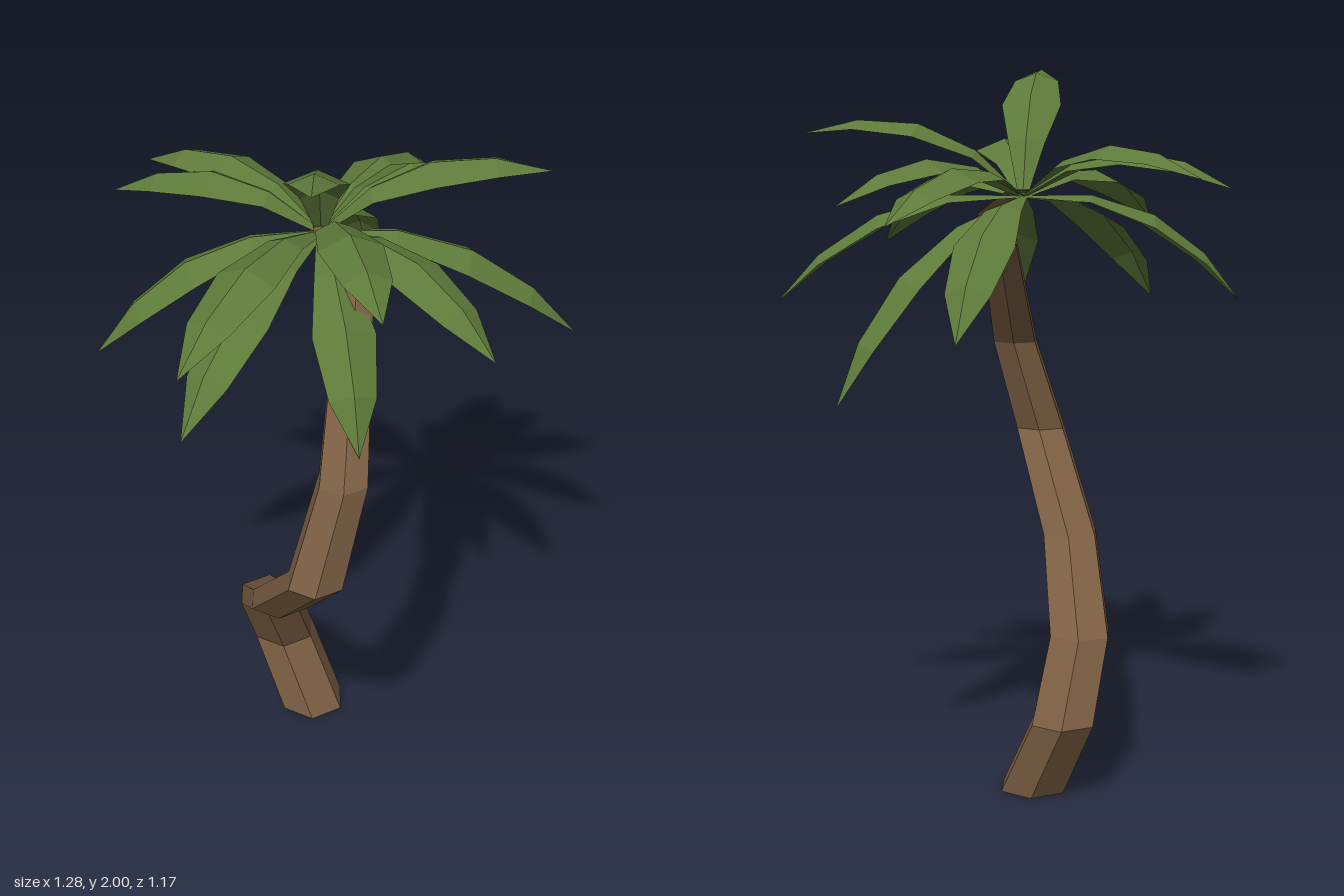
import * as THREE from 'three';

const bark = new THREE.MeshStandardMaterial({ name: 'bark brown', color: 0x7a5e42, flatShading: true });
const leaf = new THREE.MeshStandardMaterial({ name: 'leaf green', color: 0x5e7a3a, flatShading: true, side: THREE.DoubleSide });

// Trunk rings: centre x, y, z and radius
const RINGS = [
  [-0.08, 0, -0.1, 0.1], [-0.167, 0.22, -0.18, 0.096], [-0.207, 0.44, -0.065, 0.092],
  [-0.165, 0.66, 0.24, 0.086], [-0.063, 0.93, 0.505, 0.08], [0.01, 1.2, 0.437, 0.071],
  [0.045, 1.6, 0.11, 0.052], [-0.035, 1.67, -0.04, 0.035],
];

// Frond tips
const CROWN = new THREE.Vector3(-0.045, 1.655, -0.055);
const TIPS = [
  [0.085, 1.31, -0.59], [0.26, 1.6, -0.575], [0.41, 1.64, -0.415], [0.43, 1.105, -0.325],
  [0.64, 1.355, -0.035], [0.555, 1.82, -0.06], [0.39, 1.5, 0.37], [0.1, 1.73, 0.575],
  [0.05, 1.265, 0.44], [-0.065, 2.0, 0.458], [-0.39, 1.56, 0.545], [-0.395, 1.335, 0.47],
  [-0.64, 1.36, 0.075], [-0.605, 1.68, -0.245], [-0.52, 1.71, -0.375],
];

// Stations along a frond: position, half width
const STATIONS = [[0, 0.012], [0.25, 0.05], [0.52, 0.083], [0.78, 0.062], [1, 0]];

// Hexagonal tube bent through the rings
function makeTrunk() {
  const n = RINGS.length - 1;
  const geo = new THREE.CylinderGeometry(1, 1, 1, 6, n);
  const p = geo.attributes.position;
  for (let i = 0; i < p.count; i++) {
    const [x, y, z, r] = RINGS[Math.round((p.getY(i) + 0.5) * n)];
    p.setXYZ(i, x + p.getX(i) * r, y, z + p.getZ(i) * r);
  }
  const flat = geo.toNonIndexed();
  flat.computeVertexNormals();
  const mesh = new THREE.Mesh(flat, bark);
  mesh.name = 'trunk';
  return mesh;
}

// Arched blade folded along its midrib
function makeFrond(tip) {
  const chord = new THREE.Vector3(...tip).sub(CROWN);
  const side = new THREE.Vector3(chord.z, 0, -chord.x).normalize();
  const up = new THREE.Vector3().crossVectors(chord, side).normalize();
  const pos = [], index = [];
  STATIONS.forEach(([t, w], i) => {
    const rib = CROWN.clone().addScaledVector(chord, t).addScaledVector(up, 0.44 * t * (1 - t));
    for (const s of [-1, 0, 1]) {
      const v = rib.clone().addScaledVector(side, s * w).addScaledVector(up, -Math.abs(s) * w * 0.42);
      pos.push(v.x, v.y, v.z);
    }
    if (i === 0) return;
    const b = i * 3, a = b - 3;
    for (const k of [0, 1]) {
      index.push(a + k, a + k + 1, b + k);
      if (i < STATIONS.length - 1 || k === 0) index.push(a + k + 1, b + k + 1, b + k);
    }
  });
  const geo = new THREE.BufferGeometry();
  geo.setAttribute('position', new THREE.Float32BufferAttribute(pos, 3));
  geo.setIndex(index);
  const flat = geo.toNonIndexed();
  flat.computeVertexNormals();
  // Drop the sliver triangles where the tip closes to a point
  const mesh = new THREE.Mesh(flat, leaf);
  mesh.name = 'frond';
  return mesh;
}

export function createModel() {
  const model = new THREE.Group();
  model.name = 'palmTree';
  const crown = new THREE.Group();
  crown.name = 'crown';
  TIPS.forEach((tip) => crown.add(makeFrond(tip)));
  model.add(makeTrunk(), crown);
  return model;
}
